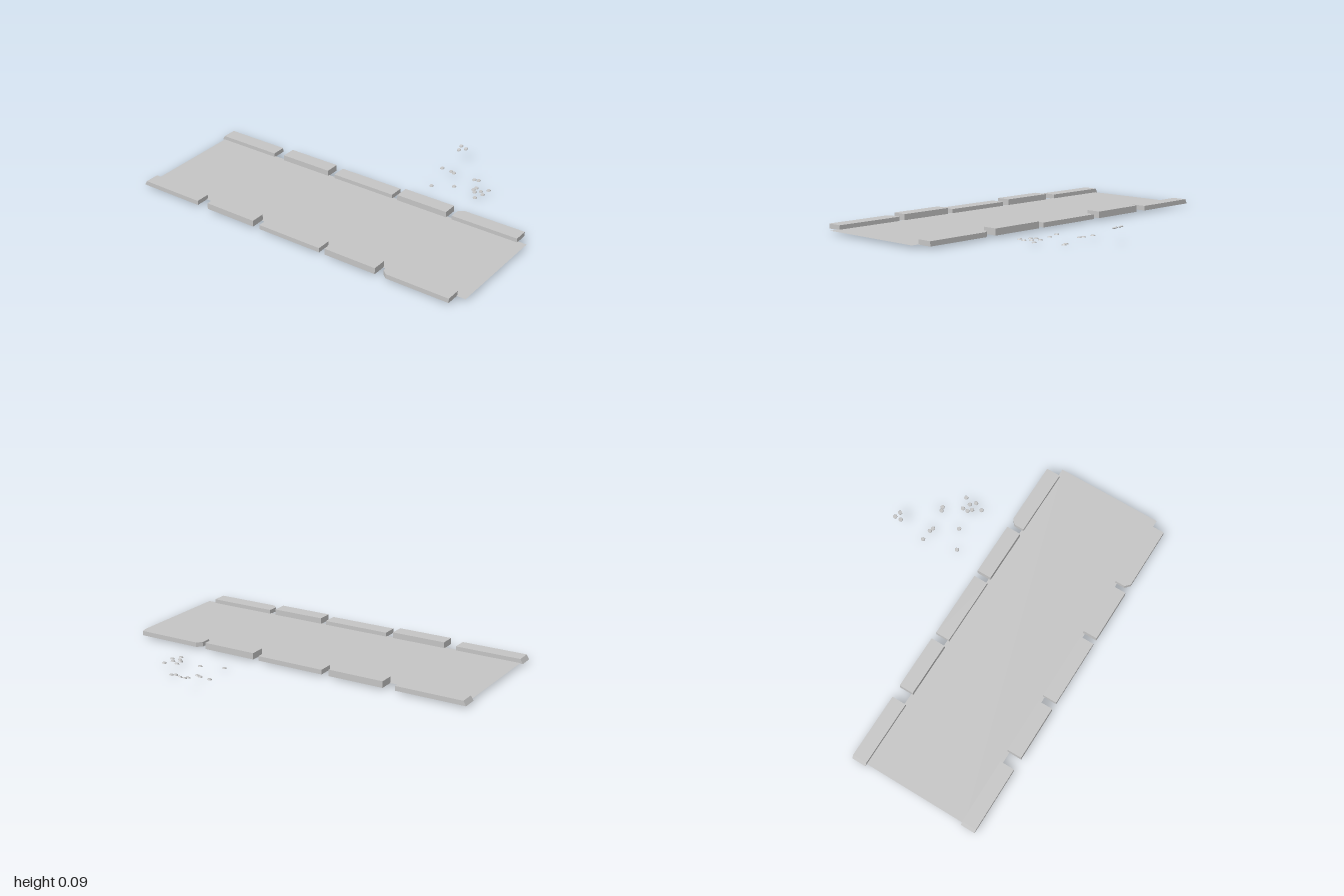
import * as THREE from 'three';

// Open-bottomed block: a footprint loop [x, z], with the top loop drawn in at the start by slant
function shellBlock(loop, y0, y1, slant) {
  const low = loop.map(([x, z]) => [x, y0, z]);
  const xMin = Math.min(...loop.map((p) => p[0]));
  const high = loop.map(([x, z]) => [x - xMin < 0.01 ? x + slant : x, y1, z]);
  const pos = [];
  const tri = (a, b, c) => pos.push(...a, ...b, ...c);
  const n = loop.length;
  for (let i = 0; i < n; i++) {
    const j = (i + 1) % n;
    tri(low[i], low[j], high[j]);
    tri(low[i], high[j], high[i]);
    if (i > 0 && i < n - 1) tri(high[0], high[i], high[i + 1]);
  }
  const geo = new THREE.BufferGeometry();
  geo.setAttribute('position', new THREE.Float32BufferAttribute(pos, 3));
  geo.computeVertexNormals();
  return geo;
}

export function createModel() {
  const model = new THREE.Group();
  model.name = 'pavedPath';
  const stone = new THREE.MeshStandardMaterial({ color: 0xc4c4c4, side: THREE.DoubleSide });
  stone.name = 'paleStone';

  const path = new THREE.Group();
  path.name = 'path';
  path.rotation.y = -0.768;
  model.add(path);

  // Flat path surface
  const surface = new THREE.Mesh(new THREE.PlaneGeometry(2.063, 0.63).rotateX(-Math.PI / 2), stone);
  surface.name = 'pathSurface';
  surface.position.set(0.031, 0.015, 0);
  path.add(surface);

  // Kerb stones: start, end, top height, slant of the start face
  const kerbs = [
    [-1.015, -0.618, 0.038, 0.015],
    [-0.546, -0.225, 0.048, 0],
    [-0.181, 0.218, 0.038, 0],
    [0.252, 0.570, 0.048, 0],
    [0.607, 1.010, 0.038, 0],
  ];
  const inner = 0.303, outer = 0.388;
  for (const side of [1, -1]) {
    kerbs.forEach(([a, b, top, slant], i) => {
      // The last stone has a chipped outer corner
      const corner = i === 4 ? [[a + 0.028, outer], [a, outer - 0.025]] : [[a, outer]];
      const loop = [[a, inner], ...corner.reverse(), [b, outer], [b, inner]].map(([x, z]) => [x, z * side]);
      if (side < 0) loop.reverse();
      const kerb = new THREE.Mesh(shellBlock(loop, 0.012, top, slant), stone);
      kerb.name = (side > 0 ? 'frontKerb' : 'backKerb') + (i + 1);
      path.add(kerb);
    });
  }

  // Scattered pebbles: x, y, z
  const pebbles = [
    [0.86, 0.088, -0.495], [0.84, 0.078, -0.468], [0.88, 0.084, -0.463],
    [0.72, 0.02, -0.366], [0.763, 0.02, -0.318], [0.774, 0.02, -0.297],
    [0.619, 0.009, -0.19], [0.742, 0.016, -0.152], [0.88, 0.006, -0.227],
    [0.902, 0.005, -0.217], [0.86, 0.022, -0.104], [0.838, 0.025, -0.083],
    [0.876, 0.023, -0.061], [0.838, 0.025, -0.056], [0.924, 0.02, -0.072],
    [0.876, 0.023, -0.024], [0.827, 0.02, -0.003],
  ];
  const pebbleGeo = new THREE.CylinderGeometry(0.01, 0.013, 0.006, 8);
  pebbles.forEach(([x, y, z], i) => {
    const pebble = new THREE.Mesh(pebbleGeo, stone);
    pebble.name = 'pebble' + (i + 1);
    pebble.position.set(x, y, z);
    pebble.rotation.set(i < 3 ? 0.2 : 0.05, i * 1.3, i < 3 ? 0.3 : 0.1, 'ZXY');
    model.add(pebble);
  });
  return model;
}
